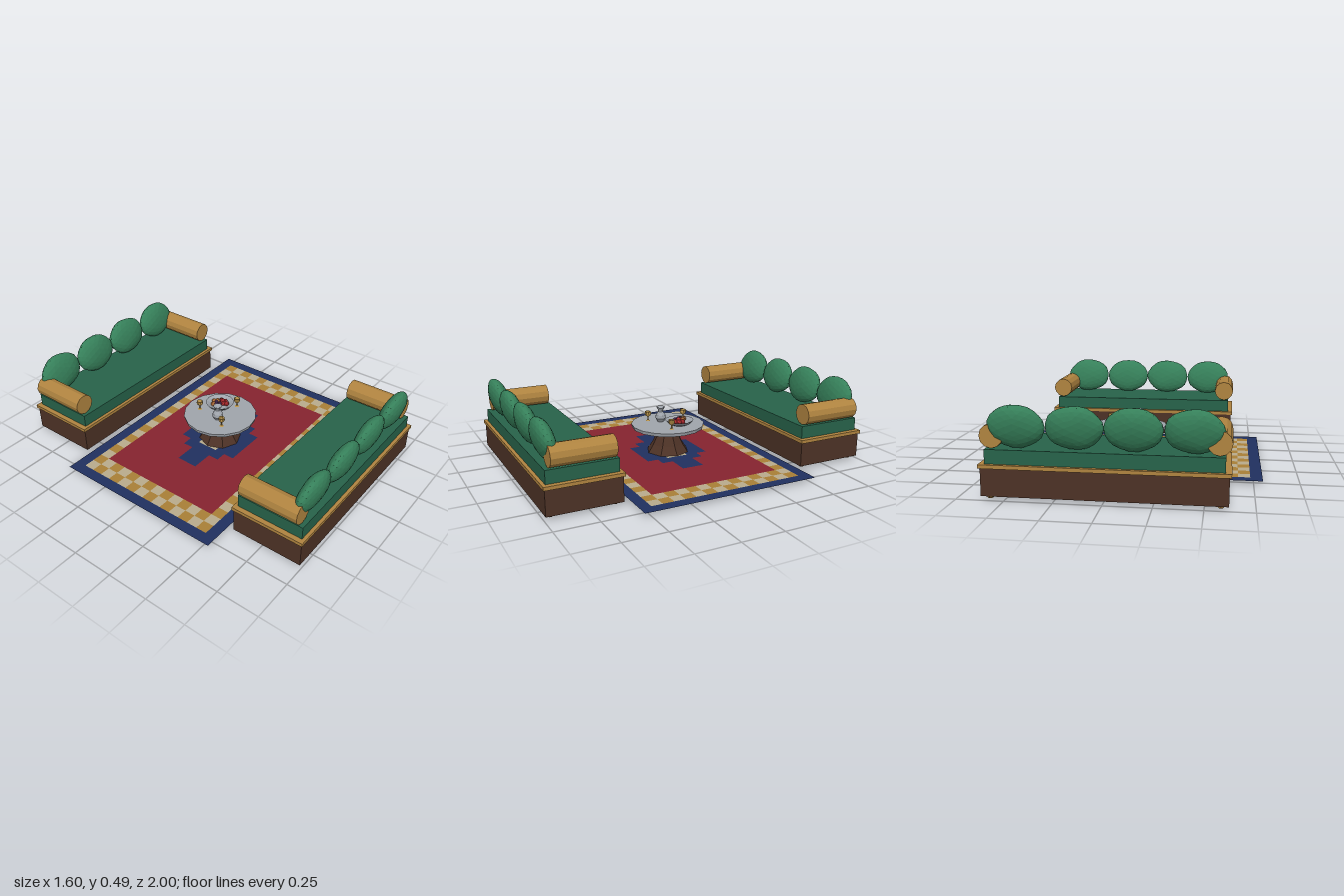
import * as THREE from 'three';
import { mergeGeometries } from 'three/addons/utils/BufferGeometryUtils.js';

const mat = (color, side = THREE.FrontSide) =>
  new THREE.MeshStandardMaterial({ color, side, flatShading: true });

const brown = mat(0x4d3226), gold = mat(0xb08440), green = mat(0x27634a);
const pillowGreen = mat(0x36805a), stone = mat(0xa0a5ac, THREE.DoubleSide);
const brass = mat(0xb8934a, THREE.DoubleSide);

function add(parent, name, geometry, material, x = 0, y = 0, z = 0) {
  const mesh = new THREE.Mesh(geometry, material);
  mesh.name = name;
  mesh.position.set(x, y, z);
  parent.add(mesh);
  return mesh;
}

function lathe(points, sides) {
  return new THREE.LatheGeometry(points.map(([r, y]) => new THREE.Vector2(r, y)), sides);
}

// Soft faceted pillow: an ellipsoid with gentle lumps
function pillowGeometry(seed) {
  const g = new THREE.IcosahedronGeometry(1, 3);
  const p = g.attributes.position;
  const v = new THREE.Vector3();
  for (let i = 0; i < p.count; i++) {
    v.fromBufferAttribute(p, i);
    const lump = 1 + 0.025 * Math.sin(5 * v.x + seed) * Math.cos(4 * v.y - seed);
    p.setXYZ(i, v.x * lump * 0.149, v.y * lump * 0.116, v.z * lump * 0.053);
  }
  g.computeVertexNormals();
  return g;
}

// Sofa facing +z, centred on its own origin
function makeSofa() {
  const sofa = new THREE.Group();
  sofa.name = 'sofa';
  add(sofa, 'sofaBase', new THREE.BoxGeometry(1.24, 0.147, 0.424), brown, 0, 0.0935);
  add(sofa, 'baseTrim', new THREE.BoxGeometry(1.26, 0.02, 0.44), gold, 0, 0.175);
  add(sofa, 'seat', new THREE.BoxGeometry(1.2, 0.075, 0.4), green, 0, 0.2225);
  for (const s of [-1, 1]) {
    const arm = add(sofa, 'armBolster', new THREE.CylinderGeometry(0.062, 0.062, 0.357, 12), gold,
      s * 0.57, 0.323, 0.002);
    arm.rotation.x = Math.PI / 2;
    for (const z of [-0.177, 0.177])
      add(sofa, 'foot', new THREE.SphereGeometry(0.022, 8, 6), gold, s * 0.58, 0.022, z);
  }
  for (let i = 0; i < 4; i++) {
    const pillow = add(sofa, 'backPillow', pillowGeometry(i * 1.7), pillowGreen,
      (i - 1.5) * 0.297, 0.373, -0.155);
    pillow.rotation.x = -0.22;
  }
  return sofa;
}

// Rug laid out as a 24 x 16 grid of coloured cells
function makeRug() {
  const rug = new THREE.Group();
  rug.name = 'rug';
  const cell = 1 / 15;
  const colors = { border: 0x20305f, cream: 0xb9ac8c, ochre: 0xa97f37, field: 0x86232f };
  const cells = { border: [], cream: [], ochre: [], field: [] };
  const medallion = [[5, 1], [3, 2], [2, 3]];
  const kind = (i, j) => {
    const a = Math.abs(i - 11.5), b = Math.abs(j - 7.5);
    if (a > 11 || b > 7) return 'border';
    if (a > 9 || b > 6) return (i + j) % 2 ? 'ochre' : 'cream';
    if (a < 2 && b < 1) return 'cream';
    return medallion.some(([w, d]) => a < w && b < d) ? 'border' : 'field';
  };
  for (let i = 0; i < 24; i++)
    for (let j = 0; j < 16; j++) {
      const g = new THREE.PlaneGeometry(cell, cell).rotateX(-Math.PI / 2);
      cells[kind(i, j)].push(g.translate((i - 11.5) * cell, 0.02, (j - 7.5) * cell));
    }
  for (const key of Object.keys(cells))
    add(rug, key + 'Cells', mergeGeometries(cells[key]), mat(colors[key], THREE.DoubleSide));
  return rug;
}

function makeTable() {
  const table = new THREE.Group();
  table.name = 'table';
  add(table, 'pedestal', lathe([[0, 0.021], [0.132, 0.021], [0.1, 0.07], [0.072, 0.125],
    [0.066, 0.145], [0.105, 0.165], [0.12, 0.178], [0, 0.178]], 8), brown);
  add(table, 'tableTop', new THREE.CylinderGeometry(0.227, 0.222, 0.021, 16), stone, 0, 0.1885);

  // Pitcher
  add(table, 'pitcher', lathe([[0, 0], [0.02, 0], [0.033, 0.022], [0.03, 0.042], [0.015, 0.064],
    [0.016, 0.076], [0.027, 0.094], [0.013, 0.068]], 12), stone, -0.053, 0.199, 0.022);

  // Goblets
  const goblet = lathe([[0, 0], [0.014, 0], [0.004, 0.006], [0.004, 0.026], [0.015, 0.034],
    [0.02, 0.046], [0.018, 0.06], [0.014, 0.046], [0, 0.034]], 10);
  for (const [x, z] of [[-0.04, -0.13], [0.127, 0.037], [-0.1, 0.088]])
    add(table, 'goblet', goblet, brass, x, 0.199, z);

  // Fruit bowl
  const bowl = new THREE.Group();
  bowl.name = 'fruitBowl';
  bowl.position.set(0.062, 0.199, -0.05);
  table.add(bowl);
  add(bowl, 'bowl', lathe([[0, 0], [0.045, 0], [0.07, 0.012], [0.088, 0.032], [0.078, 0.028],
    [0.05, 0.01], [0, 0.008]], 14), stone);
  const fruits = [
    [0xb02a2e, 0.016, [[0.03, 0.024, -0.008], [0.032, 0.025, 0.018], [0.008, 0.025, 0.022],
      [0.018, 0.026, 0.04], [0.015, 0.036, 0.012]]],
    [0xb5703a, 0.016, [[-0.012, 0.03, -0.036], [-0.036, 0.026, -0.024], [0.004, 0.03, -0.02]]],
    [0x55305e, 0.012, [[-0.03, 0.03, -0.006], [-0.016, 0.034, -0.014], [-0.012, 0.028, 0.008],
      [-0.032, 0.026, 0.014]]],
  ];
  for (const [color, r, spots] of fruits) {
    const material = mat(color);
    for (const s of spots) add(bowl, 'fruit', new THREE.IcosahedronGeometry(r, 1), material, ...s);
  }
  return table;
}

export function createModel() {
  const model = new THREE.Group();
  model.name = 'loungeSet';
  const backSofa = makeSofa(), frontSofa = makeSofa();
  backSofa.position.z = -0.78;
  frontSofa.position.z = 0.78;
  frontSofa.rotation.y = Math.PI;
  model.add(backSofa, frontSofa, makeRug(), makeTable());
  return model;
}
